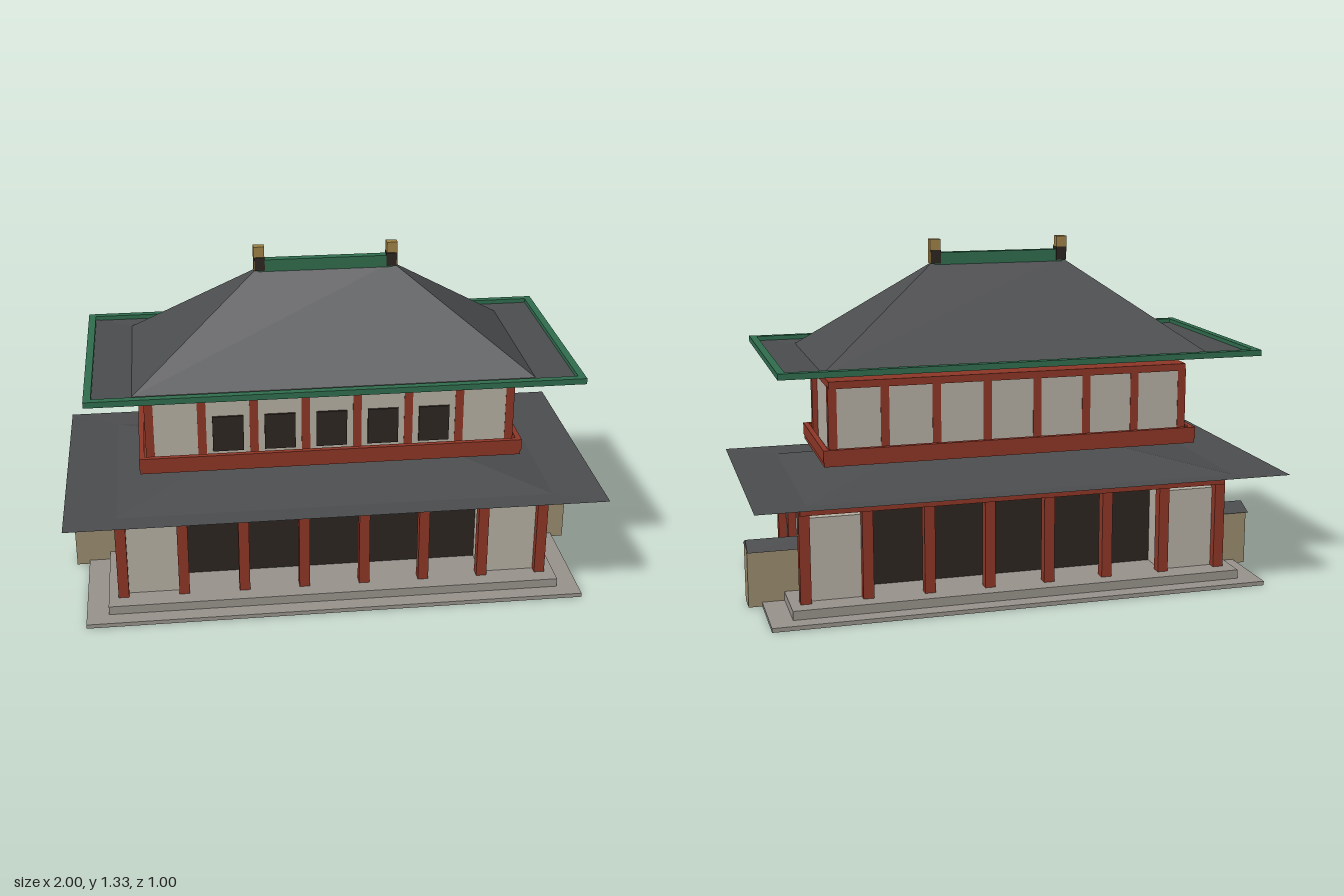
import * as THREE from 'three';

const mat = (color, extra = {}) => new THREE.MeshStandardMaterial({ color, roughness: 0.9, ...extra });

export function createModel() {
  const model = new THREE.Group();
  model.name = 'gatehouse';

  const red = mat(0x8c3526), plaster = mat(0xb3ada1), stone = mat(0x96918a), dark = mat(0x2c2520);
  const green = mat(0x2f6b4c), gold = mat(0x9c7f45), earth = mat(0x988a6c), tile = mat(0x4b4c4e);
  const roofTile = mat(0x4b4c4e, { flatShading: true, side: THREE.DoubleSide });

  function group(name) {
    const g = new THREE.Group();
    g.name = name;
    model.add(g);
    return g;
  }

  // Box given by its lower and upper limits on each axis
  function box(name, material, [x0, x1], [y0, y1], [z0, z1], parent = model) {
    const mesh = new THREE.Mesh(new THREE.BoxGeometry(x1 - x0, y1 - y0, z1 - z0), material);
    mesh.position.set((x0 + x1) / 2, (y0 + y1) / 2, (z0 + z1) / 2);
    mesh.name = name;
    parent.add(mesh);
    return mesh;
  }
  const around = (c, w) => [c - w / 2, c + w / 2];
  const sym = (h) => [-h, h];

  // Hollow rectangular frame
  function frame(name, material, hx, hz, y, t) {
    const g = group(name);
    for (const s of [-1, 1]) {
      box(name + 'Long', material, sym(hx), y, around(s * (hz - t / 2), t), g);
      box(name + 'Short', material, around(s * (hx - t / 2), t), y, sym(hz - t), g);
    }
  }

  // Hipped roof from rectangular rings [halfX, halfZ, y], eave to ridge
  function hipRoof(name, rings) {
    const pos = [];
    const corners = [[1, 1], [1, -1], [-1, -1], [-1, 1]];
    const point = ([hx, hz, y], k) => [corners[k % 4][0] * hx, y, corners[k % 4][1] * hz];
    for (let r = 0; r < rings.length - 1; r++) {
      for (let k = 0; k < 4; k++) {
        const a = point(rings[r], k), b = point(rings[r], k + 1);
        const c = point(rings[r + 1], k + 1), d = point(rings[r + 1], k);
        pos.push(...a, ...b, ...c, ...a, ...c, ...d);
      }
    }
    const geo = new THREE.BufferGeometry();
    geo.setAttribute('position', new THREE.Float32BufferAttribute(pos, 3));
    geo.computeVertexNormals();
    const mesh = new THREE.Mesh(geo, roofTile);
    mesh.name = name;
    model.add(mesh);
  }

  // Stepped stone base
  box('lowerPlinth', stone, sym(0.945), [0, 0.016], sym(0.427));
  box('upperPlinth', stone, sym(0.862), [0.016, 0.05], sym(0.366));

  // Ground floor: end rooms, dark gate bays, columns and beam slab
  const lowerColumns = group('lowerColumns');
  const bay = 0.23;
  for (let i = 0; i < 8; i++) {
    const x = (i - 3.5) * bay;
    for (const z of [-0.286, 0.286]) {
      box('lowerColumn', red, around(x, 0.04), [0.05, 0.432], around(z, 0.04), lowerColumns);
    }
  }
  for (const s of [-1, 1]) {
    box('sideColumn', red, around(s * 0.805, 0.04), [0.05, 0.432], sym(0.02), lowerColumns);
    box('endRoom', plaster, around(s * 0.685, 0.22), [0.05, 0.363], sym(0.275));
  }
  box('gateBays', dark, sym(0.575), [0.05, 0.376], sym(0.153));
  box('lowerBeam', red, sym(0.82), [0.383, 0.427], sym(0.315));

  // Lower roof
  hipRoof('lowerRoof', [[1, 0.5, 0.453], [0.81, 0.4, 0.444], [0.28, 0, 0.55]]);

  // Balcony
  box('balconyFloor', red, sym(0.717), [0.538, 0.56], sym(0.243));
  frame('balconyRail', red, 0.72, 0.246, [0.555, 0.6], 0.02);

  // Upper floor with front windows
  box('upperWalls', plaster, sym(0.673), [0.56, 0.82], sym(0.2015));
  const upperColumns = group('upperColumns');
  for (let i = 0; i < 8; i++) {
    const x = (i - 3.5) * 0.1935;
    for (const z of [-0.187, 0.187]) {
      box('upperColumn', red, around(x, 0.032), [0.56, 0.822], around(z, 0.032), upperColumns);
    }
  }
  const windows = group('windows');
  for (let i = -2; i <= 2; i++) {
    box('window', dark, around(i * 0.1935, 0.115), [0.6, 0.74], [0.19, 0.21], windows);
  }
  box('upperBeam', red, sym(0.69), [0.816, 0.843], sym(0.207));

  // Upper roof with eave trim, ridge and ridge-end ornaments
  hipRoof('upperRoof', [[0.89, 0.42, 0.908], [0.73, 0.343, 0.898], [0.25, 0, 1.243]]);
  frame('eaveTrim', green, 0.898, 0.428, [0.9, 0.922], 0.027);
  box('ridge', green, sym(0.25), [1.23, 1.275], sym(0.016));
  for (const s of [-1, 1]) {
    box('ridgeEnd', dark, around(s * 0.245, 0.038), [1.235, 1.285], sym(0.02));
    box('ridgeOrnament', gold, around(s * 0.247, 0.04), [1.235, 1.325], sym(0.016));
  }

  // Short flanking walls with gabled tile caps
  const gable = new THREE.Shape([
    new THREE.Vector2(-0.07, 0), new THREE.Vector2(0.07, 0), new THREE.Vector2(0, 0.031),
  ]);
  const capGeo = new THREE.ExtrudeGeometry(gable, { depth: 0.22, bevelEnabled: false });
  capGeo.translate(0, 0, -0.11).rotateY(Math.PI / 2);
  for (const s of [-1, 1]) {
    box('flankWall', earth, around(s * 0.895, 0.2), [0, 0.216], [-0.142, -0.046]);
    const cap = new THREE.Mesh(capGeo, tile);
    cap.position.set(s * 0.885, 0.215, -0.094);
    cap.name = 'flankWallCap';
    model.add(cap);
  }

  return model;
}
